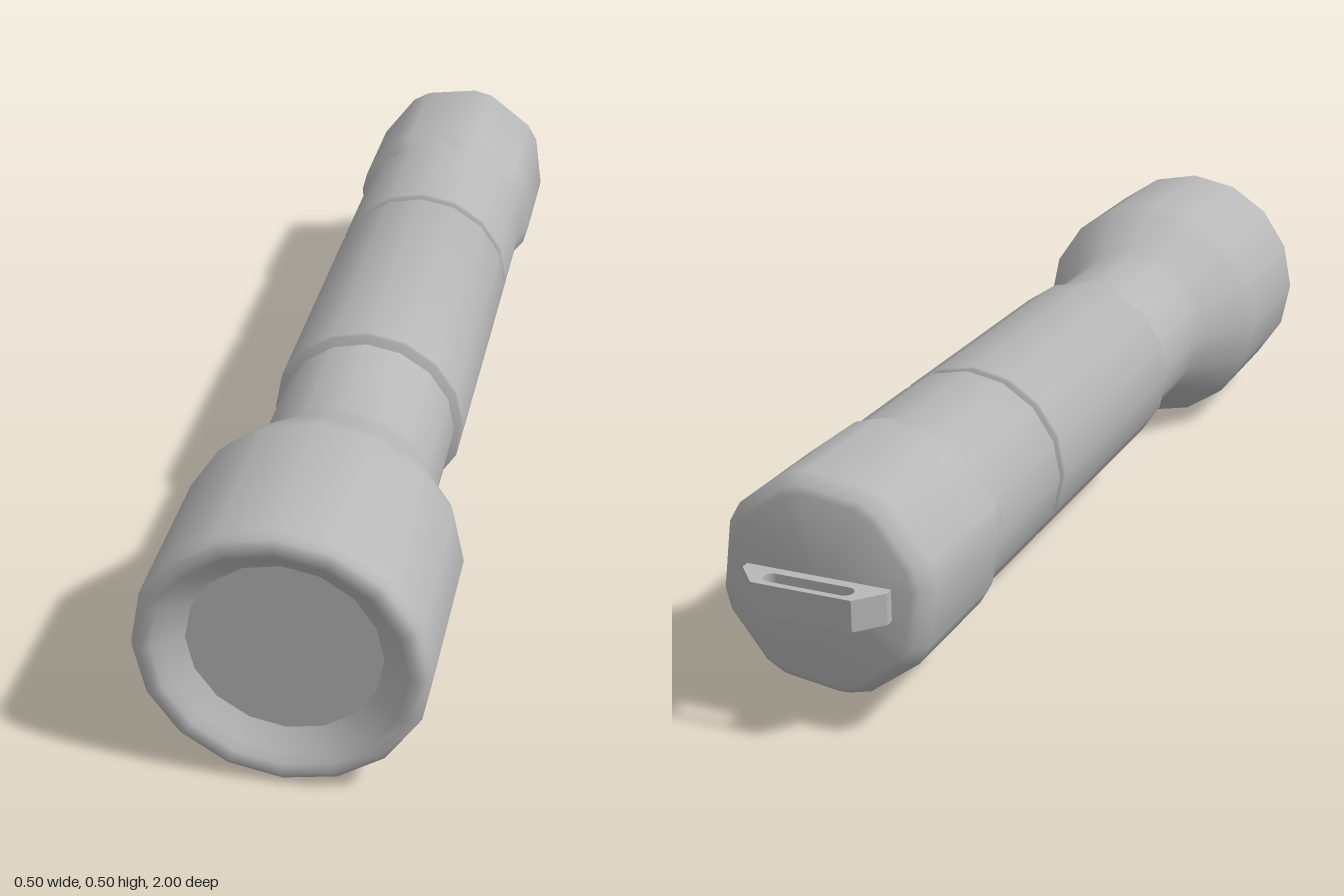
import * as THREE from 'three';
import { toCreasedNormals } from 'three/addons/utils/BufferGeometryUtils.js';

const AXIS_Y = 0.25;
const SIDES = 16;
const gray = new THREE.MeshStandardMaterial({ color: 0xb8b8b8 });
gray.name = 'satin gray';

// Smooths shallow edges and keeps steep ones sharp; enlarged while matching vertices
function crease(geometry, angle = 0.9) {
  geometry.scale(100, 100, 100);
  const result = toCreasedNormals(geometry, angle);
  return result.scale(0.01, 0.01, 0.01);
}

// Turned shape along z from [radius, z] pairs, listed back to front
function turned(profile, reshape) {
  const points = profile.map(([r, z]) => new THREE.Vector2(r, z));
  const geometry = new THREE.LatheGeometry(points, SIDES);
  if (reshape) reshape(geometry);
  geometry.rotateX(Math.PI / 2);
  return crease(geometry);
}

// Pairs up the 16 corners into eight wide flats with narrow bevels between
function eightFlats(geometry) {
  const p = geometry.attributes.position;
  const deg = Math.PI / 180;
  for (let v = 0; v < p.count; v++) {
    const r = Math.hypot(p.getX(v), p.getZ(v));
    const i = Math.floor(v / (p.count / (SIDES + 1)));
    const a = (30 + 45 * Math.floor(i / 2) + (i % 2 ? 6 : -6)) * deg;
    p.setX(v, r * Math.sin(a));
    p.setZ(v, r * Math.cos(a));
  }
}

export function createModel() {
  const group = new THREE.Group();
  const add = (name, geometry) => {
    const mesh = new THREE.Mesh(geometry, gray);
    mesh.name = name;
    mesh.position.y = AXIS_Y;
    group.add(mesh);
    return mesh;
  };

  // Flared head with a rounded rim and recessed reflector wall
  add('head', turned([
    [0, 0.262], [0.168, 0.262], [0.168, 0.49], [0.18, 0.525], [0.237, 0.635], [0.249, 0.67],
    [0.249, 0.975], [0.243, 0.992], [0.228, 1], [0.212, 0.994], [0.198, 0.98], [0.165, 0.955],
  ]));

  // Flat lens closing the reflector
  add('lens', turned([[0.165, 0.955], [0, 0.955]]));

  // Main grip between the two grooves
  add('barrel', turned([
    [0, -0.333], [0.18, -0.333], [0.184, -0.329], [0.184, 0.245], [0.18, 0.249], [0, 0.249],
  ]));

  // Inner tube seen in the grooves
  add('innerTube', turned([[0.158, -0.4], [0.158, 0.3]]));

  // Rear tube behind the second groove
  add('tailTube', turned([
    [0, -0.9], [0.183, -0.9], [0.184, -0.356], [0.18, -0.352], [0, -0.352],
  ]));

  // Faceted tail cap
  add('tailCap', turned([
    [0, -0.94], [0.168, -0.94], [0.18, -0.934], [0.197, -0.905],
    [0.197, -0.665], [0.192, -0.645], [0.18, -0.61],
  ], eightFlats));

  // Lanyard loop: a tapered plate with a rounded slot
  const plate = new THREE.Shape([
    [-0.13, 0.935], [0.13, 0.935], [0.13, 0.955], [0.09, 1], [-0.09, 1], [-0.13, 0.955],
  ].map(([x, y]) => new THREE.Vector2(x, y)));
  const slot = new THREE.Path();
  slot.absarc(0.066, 0.973, 0.015, -Math.PI / 2, Math.PI / 2);
  slot.absarc(-0.066, 0.973, 0.015, Math.PI / 2, Math.PI * 1.5);
  slot.closePath();
  plate.holes.push(slot);
  const loop = new THREE.ExtrudeGeometry(plate, { depth: 0.055, bevelEnabled: false, curveSegments: 5 });
  loop.translate(0, 0, -0.0275).rotateX(-Math.PI / 2);
  add('lanyardLoop', crease(loop, 0.7));

  return group;
}
